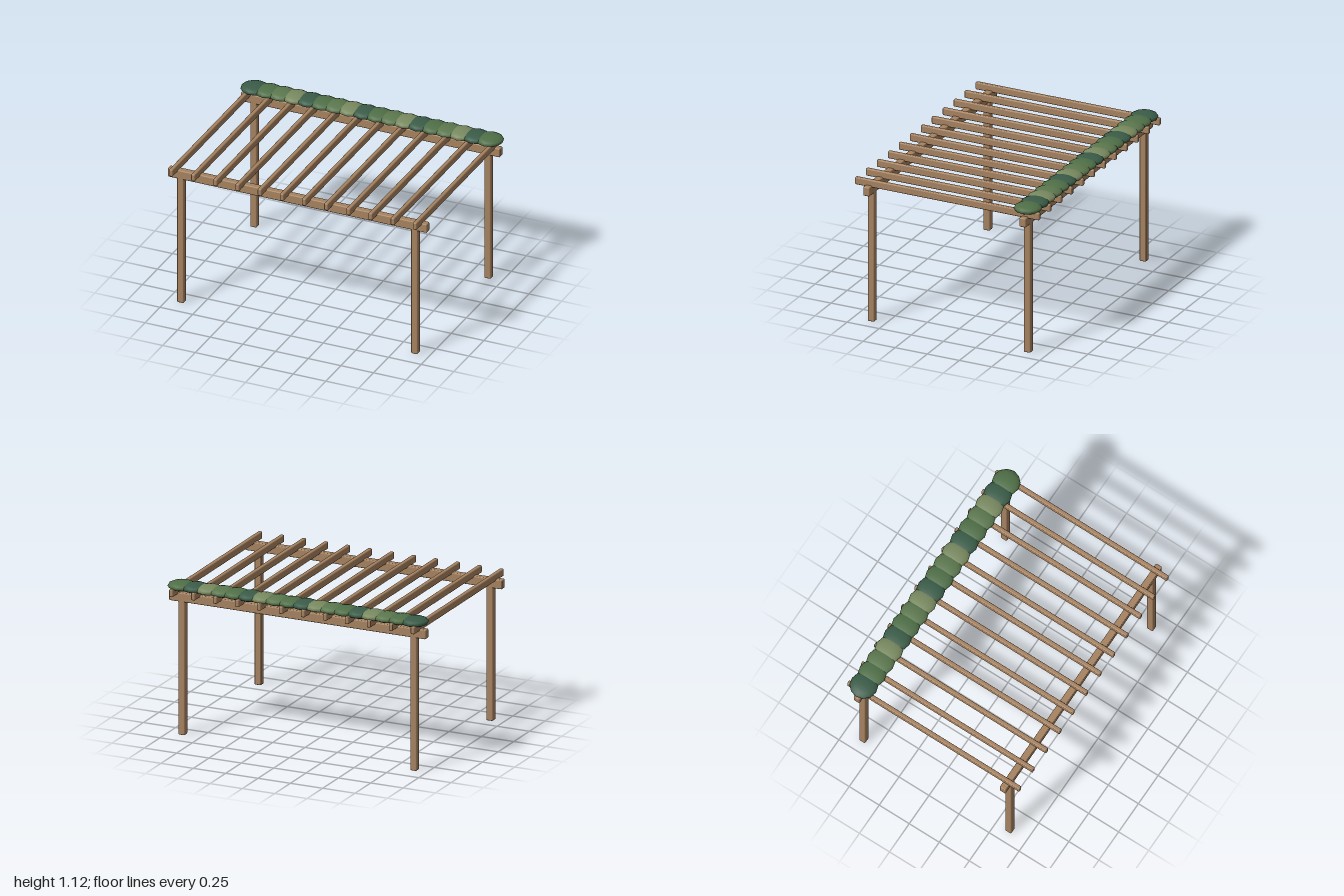
import * as THREE from 'three';
import { RoundedBoxGeometry } from 'three/addons/geometries/RoundedBoxGeometry.js';

const wood = new THREE.MeshStandardMaterial({ color: 0xa68260 });
const leaves = [0x3a5c48, 0x4f6f47, 0x5b774e, 0x78895f].map(
  (color) => new THREE.MeshStandardMaterial({ color })
);

// Timber with softly eased edges
function timber(parent, name, size, position) {
  const mesh = new THREE.Mesh(new RoundedBoxGeometry(...size, 2, 0.008), wood);
  mesh.name = name;
  mesh.position.set(...position);
  parent.add(mesh);
}

export function createModel() {
  const model = new THREE.Group();
  model.name = 'pergola';
  const cx = -0.004; // the frame sits a touch to the right of the vine

  // Two rows of posts, each carrying a long beam
  for (const [row, z] of [['front', 0.608], ['back', -0.608]]) {
    for (const [side, s] of [['Left', 1], ['Right', -1]]) {
      timber(model, `${row}${side}Post`, [0.05, 0.99, 0.05], [cx + s * 0.896, 0.495, z]);
    }
    timber(model, `${row}Beam`, [1.984, 0.068, 0.05], [cx, 1.01, z]);
  }

  // Rafters laid across the beams
  const rafters = new THREE.Group();
  rafters.name = 'rafters';
  const rafterCount = 12;
  for (let i = 0; i < rafterCount; i++) {
    const x = -0.934 + (1.867 * i) / (rafterCount - 1);
    timber(rafters, 'rafter', [0.03, 0.054, 1.434], [x, 1.058, 0]);
  }
  model.add(rafters);

  // Vine: overlapping flattened clumps along the back beam
  const vine = new THREE.Group();
  vine.name = 'vine';
  const clump = new THREE.SphereGeometry(1, 12, 8);
  const clumpCount = 18;
  for (let i = 0; i < clumpCount; i++) {
    const mesh = new THREE.Mesh(clump, leaves[i % leaves.length]);
    mesh.name = 'leafClump';
    mesh.scale.set(0.1, 0.033, 0.1);
    mesh.position.set(-0.9 + (1.8 * i) / (clumpCount - 1), 1.092, -0.608);
    vine.add(mesh);
  }
  model.add(vine);

  return model;
}
